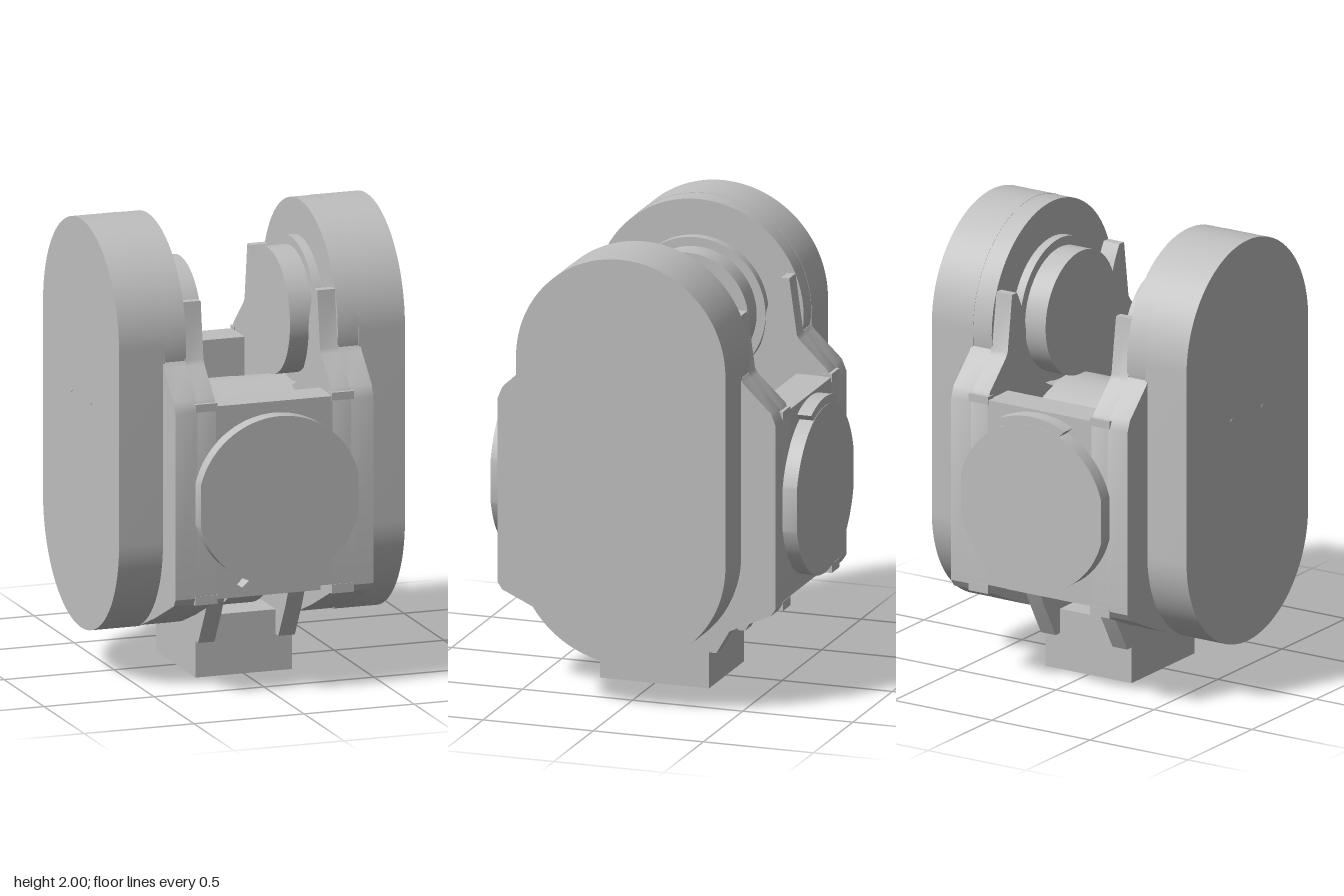
import * as THREE from 'three';
import { toCreasedNormals } from 'three/addons/utils/BufferGeometryUtils.js';

export function createModel() {
  const model = new THREE.Group();
  model.name = 'forkedJoint';
  const grey = new THREE.MeshStandardMaterial({ color: 0xbfbfbf });
  grey.name = 'lightGrey';

  const add = (name, geo) => {
    const mesh = new THREE.Mesh(geo, grey);
    mesh.name = name;
    model.add(mesh);
    return mesh;
  };
  const box = (name, x0, x1, y0, y1, z0, z1) =>
    add(name, new THREE.BoxGeometry(x1 - x0, y1 - y0, z1 - z0)
      .translate((x0 + x1) / 2, (y0 + y1) / 2, (z0 + z1) / 2));
  const extrude = (shape, depth) => toCreasedNormals(
    new THREE.ExtrudeGeometry(shape, { depth, bevelEnabled: false, curveSegments: 40 }), 0.5);
  // Side profile (z, y), symmetric in z, swept from x0 to x1
  const slab = (name, shape, x0, x1) =>
    add(name, extrude(shape, x1 - x0).rotateY(Math.PI / 2).translate(x0, 0, 0));
  const pair = (name, shape, x0, x1) => {
    slab(name + 'Left', shape, x0, x1);
    slab(name + 'Right', shape, -x1, -x0);
  };
  const circle = (y, r) => new THREE.Shape().absarc(0, y, r, 0, Math.PI * 2);
  const polygon = (pts) => new THREE.Shape(pts.map(([z, y]) => new THREE.Vector2(z, y)));
  const mirrored = (pts) => polygon([...pts, ...pts.slice().reverse().map(([z, y]) => [-z, y])]);

  const R = 0.475, LOW = 0.675, HIGH = 1.525;

  // Outer pods and the thick round heads above the cheeks
  const pod = new THREE.Shape();
  pod.absarc(0, HIGH, R, 0, Math.PI);
  pod.absarc(0, LOW, R, Math.PI, Math.PI * 2);
  pod.closePath();
  pair('sidePod', pod, 0.44, 0.65);
  pair('podHead', circle(HIGH, R - 0.001), 0.345, 0.45);

  // Bearing step and knob facing inward
  pair('bearingStep', circle(HIGH, 0.315), 0.305, 0.35);
  pair('bearingKnob', circle(HIGH, 0.275), 0.2, 0.31);

  // Cheek plates beside the pods
  const lowerEdge = [[0.06, 0.203], [0.2, 0.242], [0.37, 0.31], [0.61, 0.42], [0.63, 0.45]];
  const upperEdge = [[0.63, 1.27], [0.61, 1.32], [0.485, 1.44], [0.472, 1.46]];
  pair('cheek', mirrored([...lowerEdge, ...upperEdge]), 0.349, 0.45);

  // Inner cheeks with horns curling round the bearing
  const horned = new THREE.Shape();
  const edge = [...lowerEdge, ...upperEdge, [0.437, 1.71]];
  edge.forEach(([z, y], i) => (i ? horned.lineTo(z, y) : horned.moveTo(z, y)));
  horned.lineTo(0.4, 1.71);
  horned.quadraticCurveTo(0.335, 1.6, 0.33, HIGH);
  horned.absarc(0, HIGH, 0.33, 0, Math.PI, true);
  horned.quadraticCurveTo(-0.335, 1.6, -0.4, 1.71);
  edge.slice().reverse().forEach(([z, y]) => horned.lineTo(-z, y));
  horned.closePath();
  pair('hornedCheek', horned, 0.265, 0.35);

  // Rounded core between the cheeks, with fillets up to the end walls
  const core = new THREE.Shape();
  core.absarc(0, 0.76, 0.47, Math.PI * 1.2, Math.PI * 1.8);
  core.lineTo(0.48, 0.5);
  core.lineTo(0.48, 1.14);
  core.quadraticCurveTo(0.46, 1.05, 0.378, 1.04);
  core.absarc(0, 0.76, 0.47, 0.635, Math.PI - 0.635);
  core.quadraticCurveTo(-0.46, 1.05, -0.48, 1.14);
  core.lineTo(-0.48, 0.5);
  core.closePath();
  slab('core', core, -0.27, 0.27);
  slab('coreBand', circle(0.747, 0.485), -0.08, 0.08);

  // End walls, corner tabs and round covers, front and back
  const cover = new THREE.Shape();
  const cut = Math.acos(0.358 / 0.37);
  cover.absarc(0, 0, 0.37, cut, Math.PI - cut);
  cover.absarc(0, 0, 0.37, Math.PI + cut, Math.PI * 2 - cut);
  cover.closePath();
  const key = new THREE.Shape();
  key.absarc(0, 0, 0.409, Math.PI * 1.5 - 0.43, Math.PI * 1.5 + 0.43);
  key.lineTo(0.135, -0.34);
  key.lineTo(-0.135, -0.34);
  key.closePath();
  for (const s of [1, -1]) {
    const end = s > 0 ? 'front' : 'back';
    const span = (a, b) => (s > 0 ? [a, b] : [-b, -a]);
    box(end + 'Wall', -0.27, 0.27, 0.46, 1.29, ...span(0.47, 0.629));
    box(end + 'Chin', -0.27, 0.27, 0.4, 0.47, ...span(0.28, 0.48));
    for (const x of [0.31, -0.31]) {
      box(end + 'UpperTab', x - 0.05, x + 0.05, 1.27, 1.305, ...span(0.59, 0.632));
      box(end + 'LowerTab', x - 0.05, x + 0.05, 0.42, 0.46, ...span(0.59, 0.632));
    }
    for (const [name, shape, depth] of [['Cover', cover, 0.07], ['CoverKey', key, 0.068]]) {
      const geo = extrude(shape, depth).translate(0, 0, 0.625);
      // The back cover is turned so its key points up
      if (s < 0) geo.rotateX(Math.PI);
      add(end + name, geo.translate(0, 0.87, 0));
    }
  }

  // Mounting post with sloping ribs
  box('post', -0.22, 0.22, 0, 0.27, -0.247, 0.247);
  pair('postRib', mirrored([[0.2, 0.16], [0.28, 0.16], [0.37, 0.315], [0.42, 0.42]]), 0.145, 0.22);

  // Small pins on the outer pod faces
  for (const z of [0.12, -0.12]) {
    for (const s of [1, -1]) {
      add('podPin', new THREE.CylinderGeometry(0.011, 0.011, 0.004, 16)
        .rotateZ(Math.PI / 2).translate(s * 0.65, 1.22, z));
    }
  }
  return model;
}
